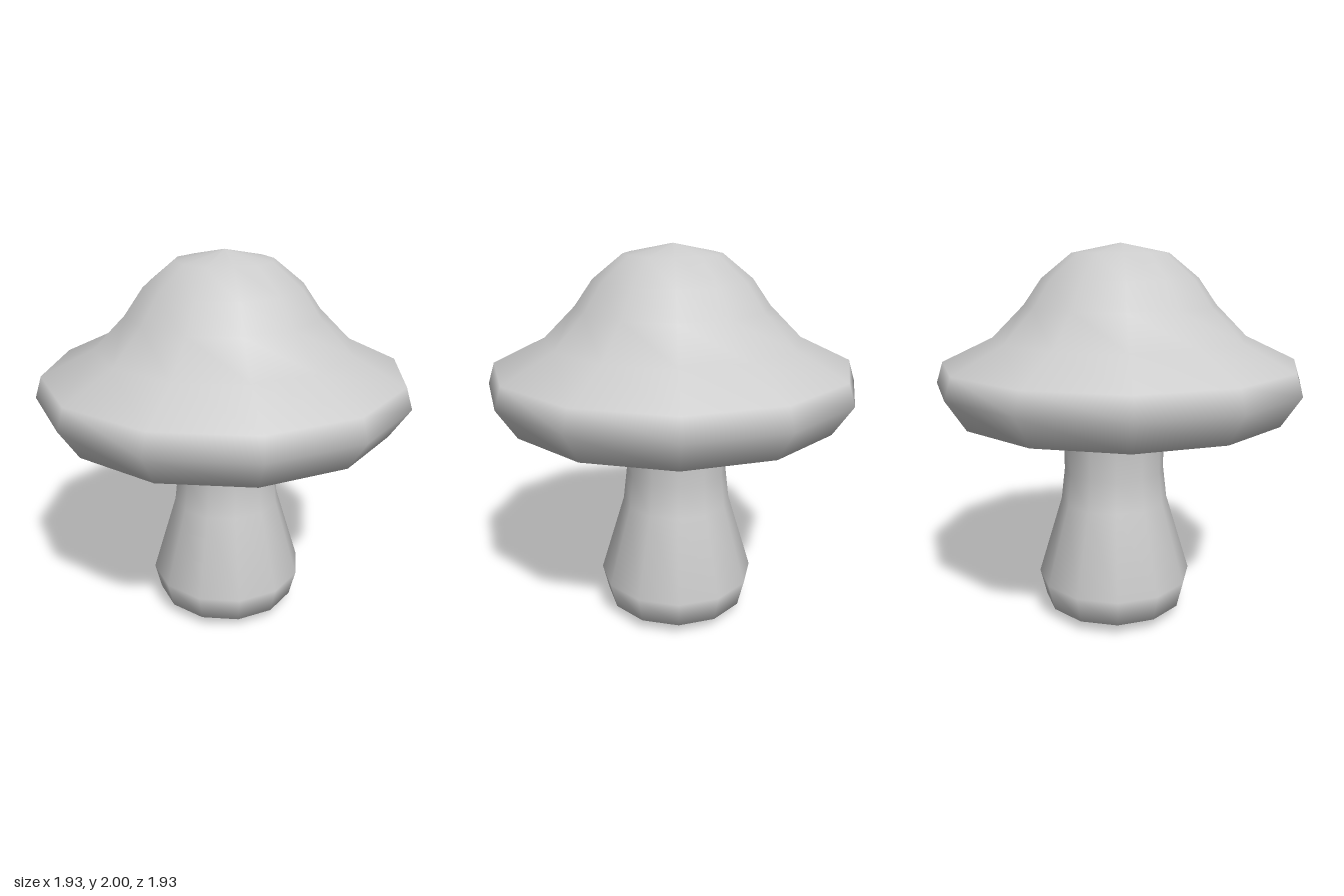
import * as THREE from 'three';

const SIDES = 12;

// Smooth-shaded body of revolution from [radius, height] pairs, listed so faces point outwards
function turned(name, profile) {
  const points = profile.map(([r, y]) => new THREE.Vector2(r, y));
  const material = new THREE.MeshStandardMaterial({ color: 0xcccccc, side: THREE.DoubleSide });
  const mesh = new THREE.Mesh(new THREE.LatheGeometry(points, SIDES), material);
  mesh.name = name;
  return mesh;
}

export function createModel() {
  const model = new THREE.Group();
  model.name = 'mushroom';

  // Stem: bulbous foot, narrow waist, flaring up into the hollow of the cap
  const stem = turned('stem', [
    [0, 0], [0.26, 0.005], [0.385, 0.065], [0.42, 0.21], [0.29, 0.64],
    [0.27, 0.81], [0.27, 1.02], [0.29, 1.12], [0.35, 1.42], [0.36, 1.5],
  ]);
  stem.position.z = -0.035;
  model.add(stem);

  // Cap: rolled rim and bell-shaped crown
  model.add(turned('cap', [
    [0.62, 1.11], [0.865, 1.135], [0.965, 1.29], [0.93, 1.4], [0.665, 1.525],
    [0.5, 1.69], [0.405, 1.825], [0.25, 1.95], [0, 2],
  ]));

  // Hollow underside of the cap, meeting the rim in a sharp edge
  model.add(turned('capUnderside', [
    [0, 1.52], [0.36, 1.47], [0.52, 1.36], [0.6, 1.24], [0.62, 1.11],
  ]));

  return model;
}
